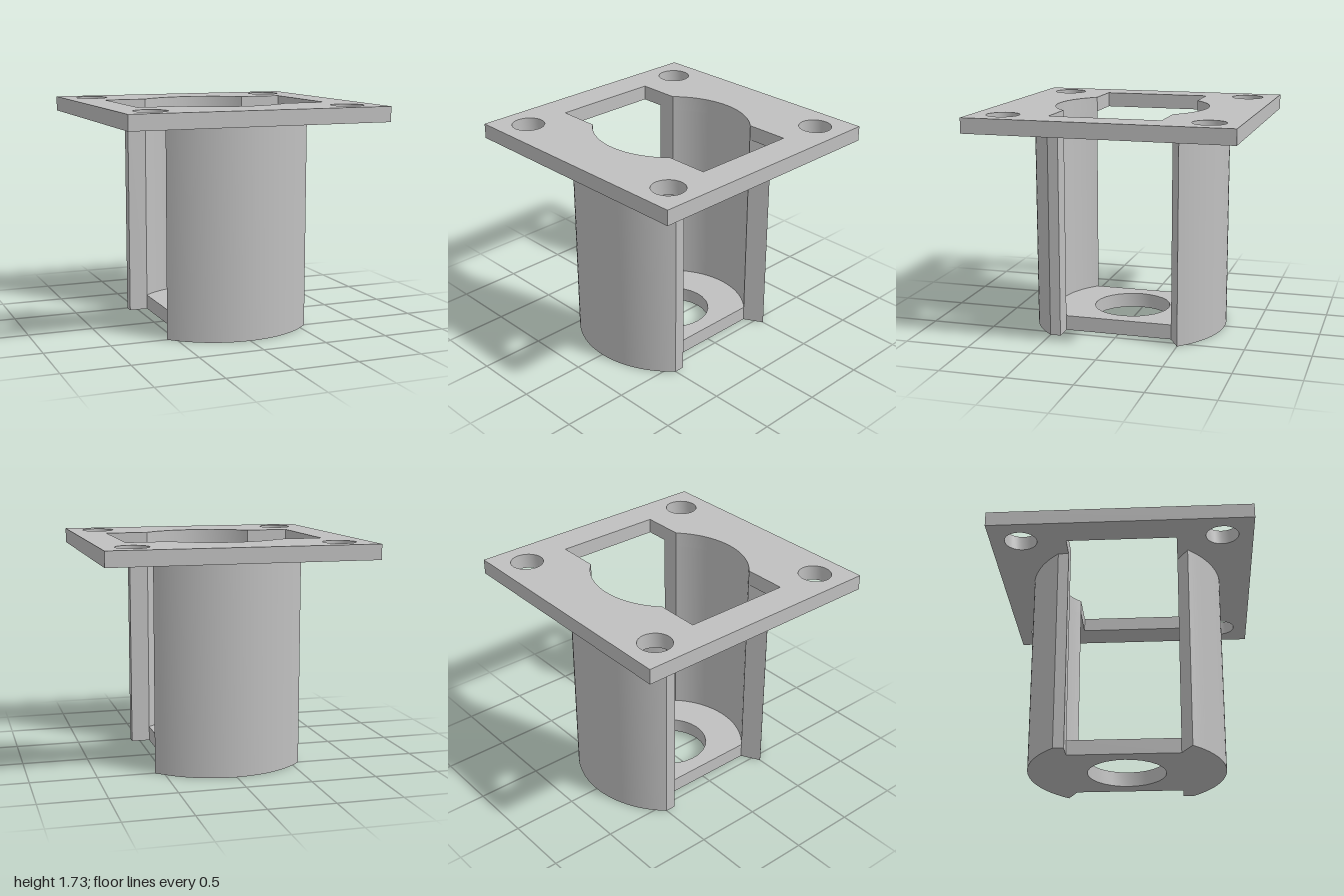
import * as THREE from 'three';
import { toCreasedNormals } from 'three/addons/utils/BufferGeometryUtils.js';

const HALF = 0.42;                       // half width of the side openings
const INNER = HALF * Math.SQRT2;         // bore radius
const OUTER = 0.755;                     // outer wall radius
const SIDE = 0.565;                      // flat cut on the wall ends
const PLATE_Y = 1.61, PLATE_T = 0.115, FLOOR_T = 0.115;
const Q = Math.PI / 4;

export function createModel() {
  const group = new THREE.Group();
  const grey = new THREE.MeshStandardMaterial({ color: 0xc0c0c0 });
  grey.name = 'plain grey';

  // Extrudes a plan shape upwards from height y
  const addPart = (name, shape, y, height) => {
    let geo = new THREE.ExtrudeGeometry(shape, { depth: height, bevelEnabled: false, curveSegments: 14 });
    geo.rotateX(-Math.PI / 2);
    geo = toCreasedNormals(geo, 0.4);
    const mesh = new THREE.Mesh(geo, grey);
    mesh.name = name;
    mesh.position.y = y;
    group.add(mesh);
    return mesh;
  };
  const circle = (x, y, r) => new THREE.Path().absarc(x, y, r, 0, Math.PI * 2, false);

  // Square mounting flange with bore, side slots and four screw holes
  const flange = new THREE.Shape();
  flange.moveTo(-1, -1).lineTo(1, -1).lineTo(1, 1).lineTo(-1, 1).closePath();
  const opening = new THREE.Path();
  opening.absarc(0, 0, INNER, Q, 3 * Q, false);
  opening.lineTo(-0.75, HALF).lineTo(-0.75, -HALF).lineTo(-HALF, -HALF);
  opening.absarc(0, 0, INNER, 5 * Q, 7 * Q, false);
  opening.lineTo(0.75, -HALF).lineTo(0.75, HALF).closePath();
  flange.holes.push(opening);
  for (const x of [-0.765, 0.765])
    for (const z of [-0.765, 0.765]) flange.holes.push(circle(x, z, 0.124));
  addPart('mountingFlange', flange, PLATE_Y, PLATE_T);

  // Curved front and back walls
  const a = Math.acos(SIDE / OUTER);
  const wall = new THREE.Shape();
  wall.moveTo(SIDE, HALF);
  wall.absarc(0, 0, OUTER, a, Math.PI - a, false);
  wall.lineTo(-SIDE, HALF).lineTo(-HALF, HALF);
  wall.absarc(0, 0, INNER, 3 * Q, Q, true);
  wall.closePath();
  addPart('backWall', wall, 0, PLATE_Y);
  addPart('frontWall', wall, 0, PLATE_Y).rotation.y = Math.PI;

  // Floor bridging the walls, with a round centre hole
  const floor = new THREE.Shape();
  floor.absarc(0, 0, INNER, Q, 3 * Q, false);
  floor.lineTo(-HALF, -HALF);
  floor.absarc(0, 0, INNER, 5 * Q, 7 * Q, false);
  floor.closePath();
  floor.holes.push(circle(0, 0, 0.3));
  addPart('floor', floor, 0, FLOOR_T);

  return group;
}
